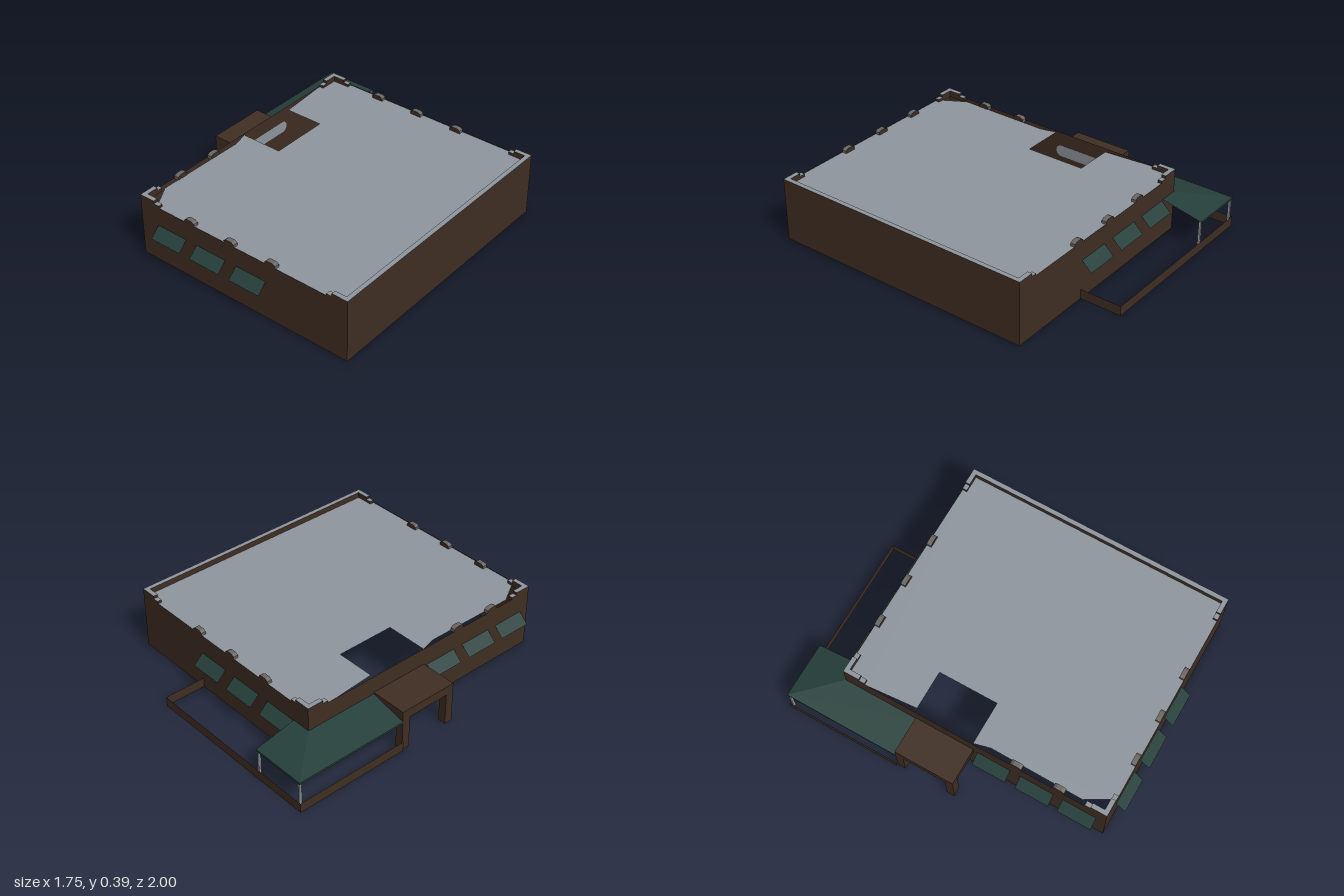
import * as THREE from 'three';

const mat = (name, color, side = THREE.FrontSide) => {
  const m = new THREE.MeshStandardMaterial({ color, side });
  m.name = name;
  return m;
};

export function createModel() {
  const brown = mat('brown wall', 0x402e23, THREE.DoubleSide);
  const green = mat('dark green awning', 0x263f3b, THREE.DoubleSide);
  const grey = mat('grey roof', 0x8f969e, THREE.DoubleSide);
  const capGrey = mat('dark grey cap', 0x6a6764);
  const metal = mat('light metal', 0xa4a9ad);

  const model = new THREE.Group();
  model.name = 'restaurantBuilding';
  // The plan is turned slightly against the axes
  const site = new THREE.Group();
  site.name = 'site';
  site.rotation.y = 0.042;
  model.add(site);

  const add = (name, geo, material) => {
    const m = new THREE.Mesh(geo, material);
    m.name = name;
    site.add(m);
    return m;
  };
  // Box given by its limits
  const box = (name, x0, x1, y0, y1, z0, z1, material) => {
    const m = add(name, new THREE.BoxGeometry(x1 - x0, y1 - y0, z1 - z0), material);
    m.position.set((x0 + x1) / 2, (y0 + y1) / 2, (z0 + z1) / 2);
    return m;
  };
  // Flat four-cornered sheet
  const quad = (name, a, b, c, d, material) => {
    const g = new THREE.BufferGeometry();
    g.setAttribute('position', new THREE.Float32BufferAttribute([a, b, c, a, c, d].flat(), 3));
    g.computeVertexNormals();
    return add(name, g, material);
  };
  // Upright sheet between two plan points
  const upright = (name, [x0, z0], [x1, z1], y0, y1, material) =>
    quad(name, [x0, y0, z0], [x1, y0, z1], [x1, y1, z1], [x0, y1, z0], material);

  const L = -0.6, R = 0.833, B = -0.736, F = 0.916;
  const wallTop = 0.36, parapetTop = 0.39, thick = 0.028;

  // Outer walls
  upright('frontWall', [L, F], [R, F], 0, wallTop, brown);
  upright('leftWall', [R, F], [R, B], 0, wallTop, brown);
  upright('backWall', [R, B], [L, B], 0, wallTop, brown);
  upright('rightWall', [L, B], [L, F], 0, wallTop, brown);

  // Roof sheet with the open notch behind the entrance
  const outline = [
    [L, B], [R, B], [R, F], [-0.49, F], [-0.5, 0.885], [-0.575, 0.756], [-0.57, 0.187],
    [-0.595, 0.087], [-0.332, 0.087], [-0.333, -0.279], [-0.574, -0.279], [L, -0.59],
  ];
  const roofShape = new THREE.Shape(outline.map(([x, z]) => new THREE.Vector2(x, -z)));
  const roof = add('roof', new THREE.ShapeGeometry(roofShape), grey);
  roof.rotation.x = -Math.PI / 2;
  roof.position.y = 0.355;

  // Raised parapets: one long side and stepped corners
  const capped = [brown, brown, grey, brown, brown, brown];
  const parapet = (x0, x1, z0, z1, top) =>
    box('parapet', x0, x1, 0.35, top, z0, z1, capped);
  parapet(R - thick, R, B, F, parapetTop);
  for (const [z0, z1] of [[B, B + thick], [F - thick, F]]) {
    parapet(R - 0.1, R - thick, z0, z1, parapetTop);
    parapet(R - 0.135, R - 0.1, z0, z1, 0.372);
    parapet(L, L + 0.1, z0, z1, parapetTop);
    parapet(L + 0.1, L + 0.135, z0, z1, 0.372);
  }
  parapet(L, L + thick, B + thick, B + 0.1, parapetTop);
  parapet(L, L + thick, B + 0.1, B + 0.135, 0.372);
  parapet(L, L + thick, F - 0.1, F - thick, parapetTop);
  parapet(L, L + thick, F - 0.135, F - 0.1, 0.372);

  // Small humped blocks on the wall tops
  const hump = new THREE.Shape();
  hump.moveTo(-0.035, -0.01);
  hump.lineTo(0.035, -0.01);
  hump.lineTo(0.035, 0.012);
  hump.lineTo(0.018, 0.022);
  hump.lineTo(-0.018, 0.022);
  hump.lineTo(-0.035, 0.012);
  const humpGeo = new THREE.ExtrudeGeometry(hump, { depth: 0.03, bevelEnabled: false });
  humpGeo.translate(0, 0, -0.015);
  const block = (x, z, turn) => {
    const m = add('wallTopBlock', humpGeo, [brown, capGrey]);
    m.position.set(x, wallTop, z);
    m.rotation.y = turn;
  };
  for (const x of [-0.238, 0.045, 0.328]) {
    block(x, F - 0.015, 0);
    block(x, B + 0.015, 0);
  }
  for (const z of [0.355, 0.62]) block(L + 0.015, z, Math.PI / 2);

  // Sloping window awnings
  const hi = 0.24, lo = 0.182, out = 0.06, half = 0.104;
  for (const x of [-0.373, -0.091, 0.191]) {
    for (const [z, s] of [[F, 1], [B, -1]]) {
      quad('awning', [x - s * half, lo, z + s * out], [x + s * half, lo, z + s * out],
        [x + s * half, hi, z], [x - s * half, hi, z], green);
    }
  }
  for (const z of [0.218, 0.49, 0.755]) {
    quad('awning', [L - out, lo, z - half], [L - out, lo, z + half],
      [L, hi, z + half], [L, hi, z - half], green);
  }

  // Patio canopy wrapped round the back corner, with a hip
  const X = -0.827, Z = -0.99, cHi = 0.245, cLo = 0.192, backEnd = -0.484, sideEnd = -0.28;
  quad('patioCanopyBack', [X, cLo, Z], [L, cHi, B], [backEnd, cHi, B], [backEnd, cLo, Z], green);
  quad('patioCanopySide', [X, cLo, Z], [X, cLo, sideEnd], [L, cHi, sideEnd], [L, cHi, B], green);
  upright('canopyFascia', [backEnd, Z], [X, Z], cLo - 0.012, cLo, green);
  upright('canopyFascia', [X, Z], [X, sideEnd], cLo - 0.012, cLo, green);
  for (const [x, z] of [[X + 0.01, Z + 0.01], [backEnd - 0.01, Z + 0.01]]) {
    box('canopyPost', x - 0.006, x + 0.006, 0, cLo, z - 0.006, z + 0.006, metal);
  }

  // Low patio wall
  const px = -0.834, pz = -0.993, pEnd = 0.3;
  upright('patioWall', [pEnd, B], [pEnd, pz], 0, 0.06, brown);
  upright('patioWall', [pEnd, pz], [px, pz], 0, 0.06, brown);
  upright('patioWall', [px, pz], [px, sideEnd], 0, 0.06, brown);

  // Entrance portal on two posts
  box('entranceRoof', -0.825, L, 0.2, 0.255, -0.28, 0.09, brown);
  for (const z of [-0.28, 0.04]) {
    box('entrancePost', -0.825, -0.775, 0, 0.2, z, z + 0.05, brown);
  }

  // Rounded pale panel inside the entrance wall
  const panel = new THREE.Shape();
  panel.absarc(0.15, 0, 0.035, -Math.PI / 2, Math.PI / 2, false);
  panel.absarc(-0.15, 0, 0.035, Math.PI / 2, Math.PI * 1.5, false);
  const plate = add('entrancePanel', new THREE.ShapeGeometry(panel, 8), grey);
  plate.rotation.y = Math.PI / 2;
  plate.position.set(L + 0.004, 0.24, -0.1);

  return model;
}
